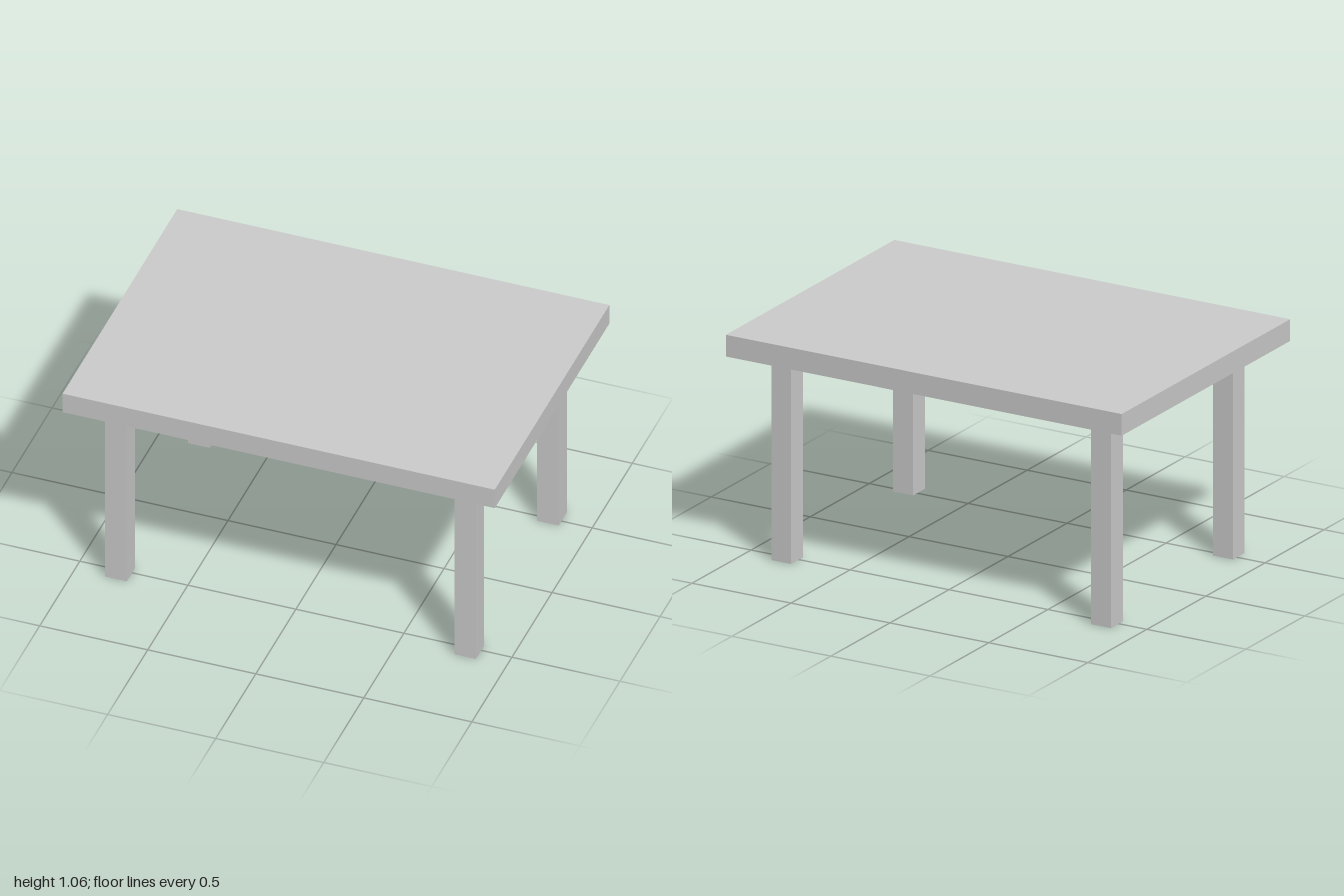
import * as THREE from 'three';

const TOP = { width: 2, thickness: 0.1, depth: 1.428 };
const LEG = { side: 0.1, height: 0.957, x: 0.808, z: 0.516 };

export function createModel() {
  const table = new THREE.Group();
  table.name = 'table';
  const material = new THREE.MeshStandardMaterial({ color: 0xcccccc, flatShading: true });

  // Table top slab
  const top = new THREE.Mesh(new THREE.BoxGeometry(TOP.width, TOP.thickness, TOP.depth), material);
  top.name = 'tableTop';
  top.position.y = LEG.height + TOP.thickness / 2;
  table.add(top);

  // Four square legs, set in from the corners
  const legGeometry = new THREE.BoxGeometry(LEG.side, LEG.height, LEG.side);
  for (const [endName, sz] of [['front', 1], ['back', -1]]) {
    for (const [sideName, sx] of [['Left', 1], ['Right', -1]]) {
      const leg = new THREE.Mesh(legGeometry, material);
      leg.name = `${endName}${sideName}Leg`;
      leg.position.set(sx * LEG.x, LEG.height / 2, sz * LEG.z);
      table.add(leg);
    }
  }
  return table;
}
